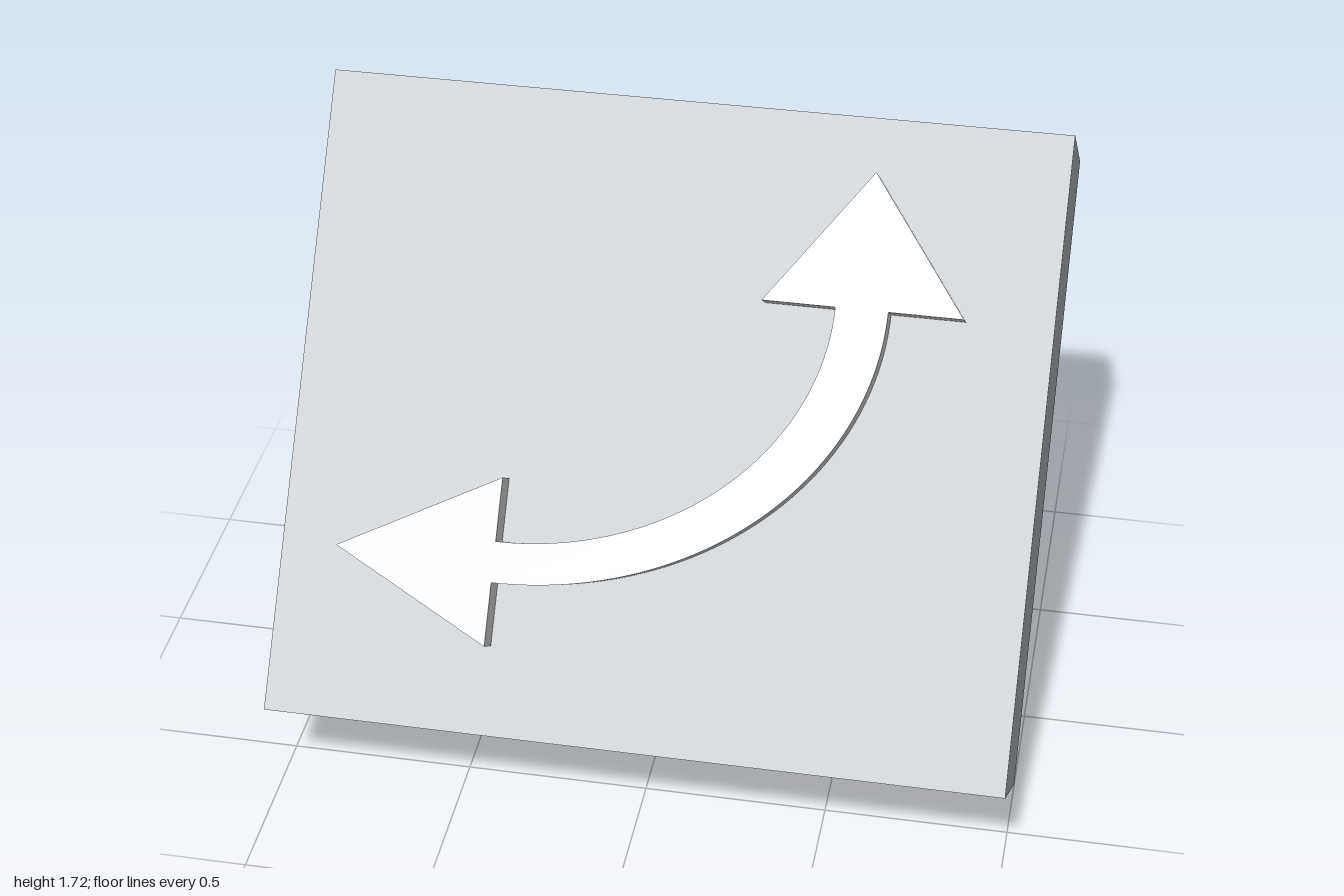
import * as THREE from 'three';

const WIDTH = 2, HEIGHT = 1.74, DEPTH = 0.55, TILT = 0.64;

export function createModel() {
  const slabGrey = new THREE.MeshStandardMaterial({ color: 0xb0b6b8 });
  slabGrey.name = 'slabGrey';
  const arrowWhite = new THREE.MeshStandardMaterial({ color: 0xdedede });
  arrowWhite.name = 'arrowWhite';

  const model = new THREE.Group();
  model.name = 'tiltedArrowSign';

  // Everything is built upright, then leaned back onto its lower rear edge
  const sign = new THREE.Group();
  sign.name = 'sign';
  sign.rotation.x = -TILT;
  sign.position.y = (HEIGHT * Math.cos(TILT) + DEPTH * Math.sin(TILT)) / 2;
  model.add(sign);

  // Thick slab
  const slab = new THREE.Mesh(new THREE.BoxGeometry(WIDTH, HEIGHT, DEPTH), slabGrey);
  slab.name = 'slab';
  sign.add(slab);

  // Raised double-headed arrow, bent through a quarter ellipse
  const cx = -0.4, cy = 0.355;
  const outline = new THREE.Shape();
  outline.moveTo(cx, -0.63);
  outline.lineTo(cx, cy - 0.815);
  outline.absellipse(cx, cy, 0.97, 0.815, -Math.PI / 2, 0, false);
  outline.lineTo(0.768, cy);
  outline.lineTo(0.5, 0.717);
  outline.lineTo(0.235, cy);
  outline.lineTo(cx + 0.83, cy);
  outline.absellipse(cx, cy, 0.83, 0.705, 0, -Math.PI / 2, true);
  outline.lineTo(cx, -0.18);
  outline.lineTo(-0.83, -0.405);
  outline.closePath();

  const arrow = new THREE.Mesh(
    new THREE.ExtrudeGeometry(outline, { depth: 0.088, bevelEnabled: false, curveSegments: 32 }),
    arrowWhite
  );
  arrow.name = 'curvedArrow';
  arrow.position.z = DEPTH / 2;
  sign.add(arrow);

  return model;
}
